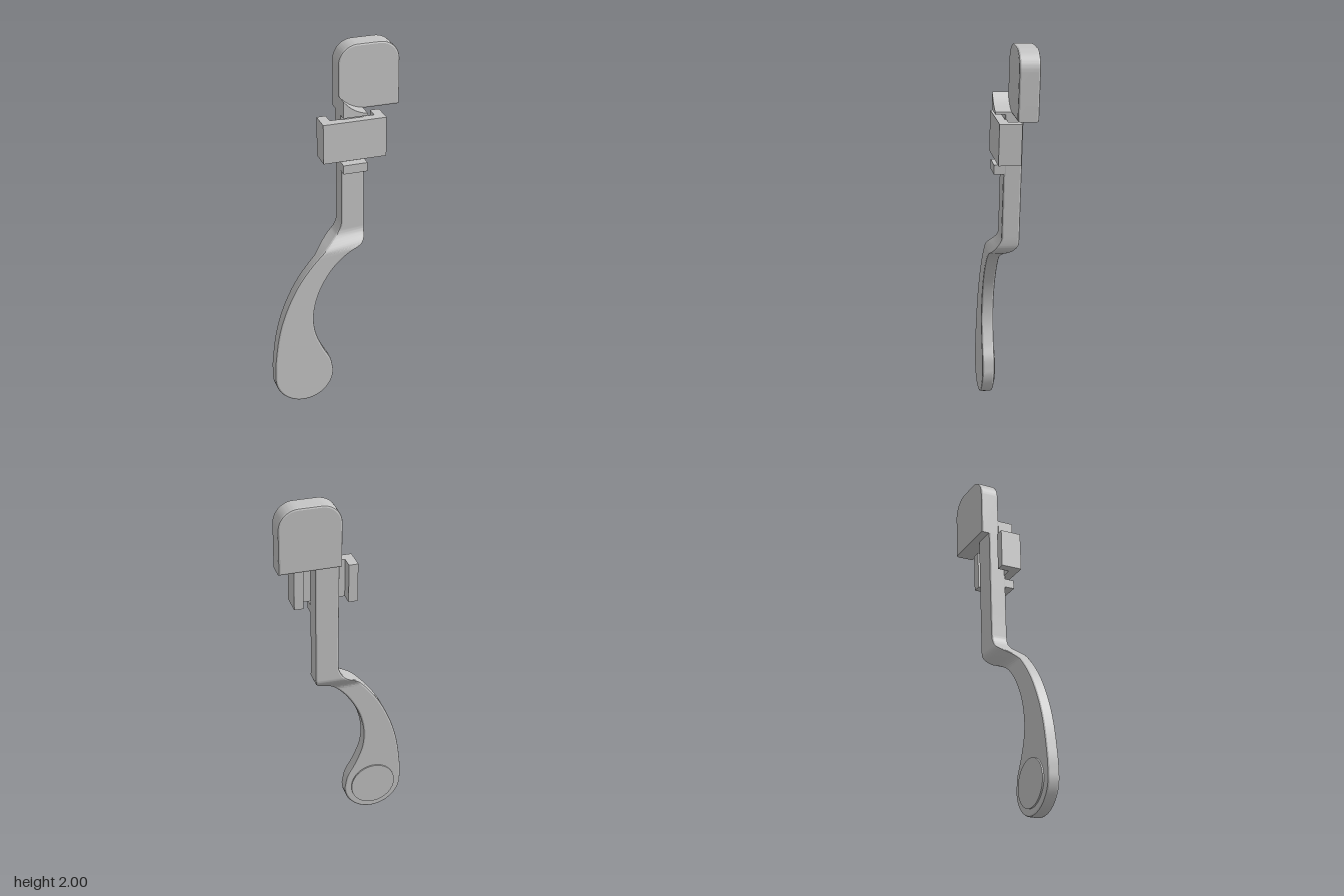
import * as THREE from 'three';
import { toCreasedNormals } from 'three/addons/utils/BufferGeometryUtils.js';

const CREASE = 0.3;

// Outline of the lever as rows of [y, left edge, right edge], above the round tip
const ROWS = [
  [0.165, -0.36, -0.03], [0.24, -0.359, -0.045], [0.31, -0.352, -0.082], [0.42, -0.336, -0.126],
  [0.52, -0.311, -0.136], [0.63, -0.269, -0.117], [0.73, -0.217, -0.073], [0.82, -0.152, -0.008],
  [0.88, -0.098, 0.065], [0.915, -0.061, 0.134], [0.945, -0.025, 0.156], [0.98, 0.012, 0.162],
  [1.02, 0.032, 0.163], [1.06, 0.035, 0.163], [1.66, 0.035, 0.163],
];

// Front and back depth: the handle sits forward, the shaft is set back
const frontZ = (y) => THREE.MathUtils.lerp(0.124, 0.072, THREE.MathUtils.smoothstep(y, 0.89, 1.0));
const backZ = (y) => THREE.MathUtils.lerp(0.057, -0.023, THREE.MathUtils.smoothstep(y, 0.85, 0.97));

// Lever body lofted from bottom to top with softened edges
function leverGeometry() {
  const left = [], right = [];
  const add = (y, l, r) => {
    left.push(new THREE.Vector2(l, y));
    right.push(new THREE.Vector2(r, y));
  };
  for (let i = 0; i < 18; i++) {
    const a = (i / 18) * Math.PI / 2;
    const w = 0.165 * Math.sin(a);
    add(0.165 - 0.165 * Math.cos(a), -0.195 - w, -0.195 + w);
  }
  const curve = new THREE.CatmullRomCurve3(ROWS.map(([y, l, r]) => new THREE.Vector3(l, y, r)));
  for (const p of curve.getPoints((ROWS.length - 1) * 6)) add(p.y, p.x, p.z);

  const bevel = 0.01;
  const inset = (edge, i, side, d) => {
    const t = edge[Math.min(i + 1, edge.length - 1)].clone().sub(edge[Math.max(i - 1, 0)]).normalize();
    if (i === 0) t.set(-side, 0);
    return new THREE.Vector2(edge[i].x + side * t.y * d, edge[i].y - side * t.x * d);
  };
  // [distance in from the outline, distance in from the face]
  const corner = [[bevel, 0], [bevel * 0.293, bevel * 0.293], [0, bevel]];
  const reversed = [...corner].reverse();

  const positions = [], index = [];
  const count = 12;
  left.forEach((_, i) => {
    const put = (edge, side, list, front) => list.forEach(([d, dz]) => {
      const p = inset(edge, i, side, d);
      positions.push(p.x, p.y, front ? frontZ(p.y) - dz : backZ(p.y) + dz);
    });
    put(left, 1, corner, false);
    put(left, 1, reversed, true);
    put(right, -1, corner, true);
    put(right, -1, reversed, false);
  });
  for (let i = 0; i < left.length - 1; i++) {
    for (let j = 0; j < count; j++) {
      const a = i * count + j, b = i * count + (j + 1) % count;
      index.push(a, b, b + count, a, b + count, a + count);
    }
  }
  const top = (left.length - 1) * count;
  for (let j = 1; j < count - 1; j++) index.push(top, top + j, top + j + 1);

  const geometry = new THREE.BufferGeometry();
  geometry.setAttribute('position', new THREE.Float32BufferAttribute(positions, 3));
  geometry.setIndex(index);
  return toCreasedNormals(geometry, CREASE);
}

// Head block: rounded top corners, square bottom corners, softened edges
function headGeometry() {
  const b = 0.01, x0 = 0.035 + b, x1 = 0.36 - b, y0 = 1.653 + b, y1 = 2 - b, r = 0.095;
  const s = new THREE.Shape();
  s.moveTo(x0, y0);
  s.lineTo(x1, y0);
  s.lineTo(x1, y1 - r);
  s.absarc(x1 - r, y1 - r, r, 0, Math.PI / 2);
  s.lineTo(x0 + r, y1);
  s.absarc(x0 + r, y1 - r, r, Math.PI / 2, Math.PI);
  s.lineTo(x0, y0);
  const g = new THREE.ExtrudeGeometry(s, {
    depth: 0.106 - 2 * b, bevelSize: b, bevelThickness: b, bevelSegments: 2, curveSegments: 12,
  });
  g.translate(0, 0, -0.066 + b);
  return toCreasedNormals(g, CREASE);
}

// Upper stop with a concave top that slopes down to one side
function upperStopGeometry() {
  const s = new THREE.Shape();
  s.moveTo(0.035, 1.648);
  s.lineTo(0.163, 1.648);
  s.lineTo(0.163, 1.661);
  s.quadraticCurveTo(0.085, 1.672, 0.035, 1.74);
  const g = new THREE.ExtrudeGeometry(s, { depth: 0.085, bevelEnabled: false, curveSegments: 12 });
  g.translate(0, 0, 0.036);
  return toCreasedNormals(g, CREASE);
}

// C-shaped bracket: front plate with a flange on each side, open at the back
function bracketGeometry() {
  const s = new THREE.Shape([
    [-0.068, -0.001], [-0.019, -0.001], [-0.019, 0.064], [0.217, 0.064],
    [0.217, -0.001], [0.266, -0.001], [0.266, 0.114], [-0.068, 0.114],
  ].map(([x, z]) => new THREE.Vector2(x, -z)));
  const g = new THREE.ExtrudeGeometry(s, { depth: 0.212, bevelEnabled: false });
  g.rotateX(-Math.PI / 2);
  g.translate(0, 1.41, 0);
  return g;
}

export function createModel() {
  const model = new THREE.Group();
  model.name = 'lever';
  const grey = new THREE.MeshStandardMaterial({ color: 0xc4c4c4 });
  grey.name = 'lightGrey';

  // Everything leans back slightly
  const body = new THREE.Group();
  body.name = 'leaningBody';
  body.rotation.x = -0.03;
  model.add(body);

  const part = (name, geometry) => {
    const mesh = new THREE.Mesh(geometry, grey);
    mesh.name = name;
    body.add(mesh);
    return mesh;
  };

  part('leverArm', leverGeometry());
  part('headBlock', headGeometry());
  part('upperStop', upperStopGeometry());
  part('bracket', bracketGeometry());
  part('lowerStop', new THREE.BoxGeometry(0.128, 0.048, 0.056)).position.set(0.099, 1.365, 0.093);

  // Round pad on the back of the handle
  const pad = part('backPad', new THREE.CylinderGeometry(0.126, 0.126, 0.02, 48));
  pad.rotation.x = Math.PI / 2;
  pad.position.set(-0.195, 0.164, 0.059);

  return model;
}
